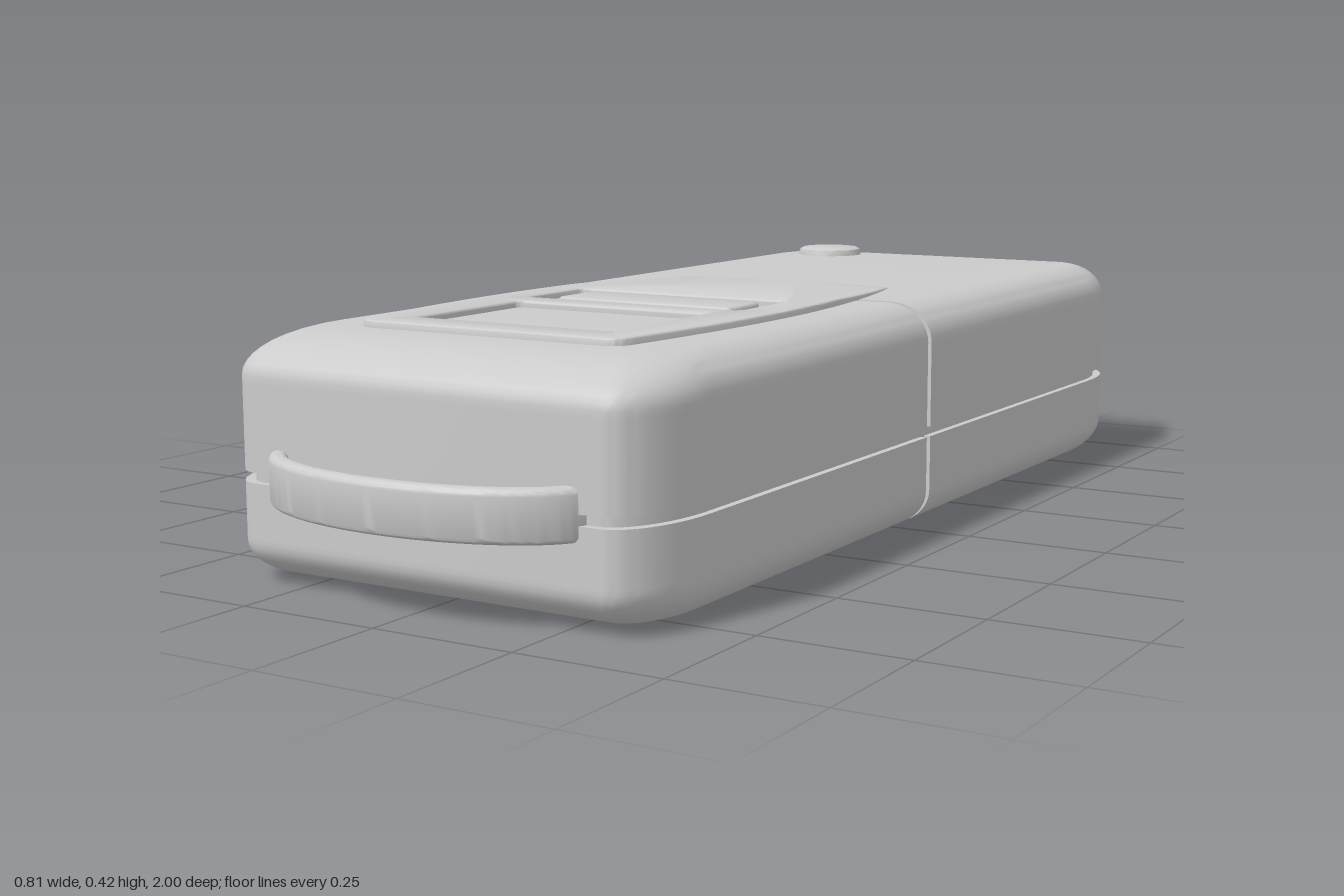
import * as THREE from 'three';
import { toCreasedNormals } from 'three/addons/utils/BufferGeometryUtils.js';

const material = new THREE.MeshStandardMaterial({ color: 0xcccccc });
const HALF_W = 0.405, FRONT = 0.89, BACK = 1.0, TOP = 0.398;
const SEAM_LOW = 0.163, SEAM_HIGH = 0.18;

// Rows of the case from bottom to top: height, edge rounding 0..1, side slot open or not
const ARC = 10;
const roundRows = (top) => Array.from({ length: ARC + 1 }, (_, i) => {
  const a = (i / ARC) * Math.PI / 2;
  const rise = 0.067 * (1 - Math.sin(a));
  return { y: top ? TOP - rise : rise, k: 1 - Math.cos(a), top };
});
const lowerRows = [
  ...roundRows(false).reverse(),
  { y: 0.075, k: 0, slot: true },
  { y: SEAM_LOW, k: 0, slot: true },
];
const upperRows = [
  { y: SEAM_HIGH, k: 0, slot: true, top: true },
  { y: 0.32, k: 0, slot: true, top: true },
  ...roundRows(true),
];

// Plan outline of one end of the case: s = 1 front, s = -1 back, closed by a flat cut
function outline(s, cut, row, inset) {
  const { k, top, slot } = row;
  const roundZ = s > 0 ? (top ? 0.17 : 0.13) : (top ? 0.07 : 0.1);
  const hx = HALF_W - 0.08 * k - inset;
  const end = (s > 0 ? FRONT : BACK) - roundZ * k - inset;
  const rx = 0.08 * (1 - 0.4 * k), rz = 0.17 * (1 - 0.4 * k);
  const points = [[s * hx, cut]];
  const n = 16;
  for (const side of [1, -1]) {
    for (let i = 0; i <= n; i++) {
      const a = ((side > 0 ? i : n - i) / n) * Math.PI / 2;
      points.push([
        s * side * (hx - rx + rx * Math.cos(a)),
        s * (end - rz + rz * Math.sin(a)),
      ]);
    }
  }
  points.push([-s * hx, cut]);
  // the slot runs along the right side and leaves through the back
  return points.map(([x, z]) => [slot && z < 0.8 ? Math.max(x, -0.36 + inset) : x, z]);
}

// Loft the rows into a closed block
function block(s, cut, rows, inset = 0) {
  const pos = [], index = [];
  const rings = rows.map((row) => outline(s, cut, row, inset));
  const n = rings[0].length;
  const heights = rows.map((r) => THREE.MathUtils.clamp(r.y, inset, TOP - inset));
  rings.forEach((ring, r) => ring.forEach(([x, z]) => pos.push(x, heights[r], z)));
  const last = rows.length - 1;
  const middle = cut + s * 0.4;
  pos.push(0, heights[0], middle, 0, heights[last], middle);
  const bottom = n * rows.length;
  for (let i = 0; i < n; i++) {
    const j = (i + 1) % n;
    for (let r = 0; r < last; r++) {
      const a = r * n + i, b = r * n + j;
      index.push(a, a + n, b, b, a + n, b + n);
    }
    index.push(bottom, i, j, bottom + 1, last * n + j, last * n + i);
  }
  const geo = new THREE.BufferGeometry();
  geo.setAttribute('position', new THREE.Float32BufferAttribute(pos, 3));
  geo.setIndex(index);
  return toCreasedNormals(geo.toNonIndexed(), 0.6);
}

// Extrude a plan shape (x, z) between two heights with softened edges
function slab(shape, y0, y1, bevel) {
  const geo = new THREE.ExtrudeGeometry(shape, {
    depth: y1 - y0 - 2 * bevel, bevelEnabled: bevel > 0, bevelThickness: bevel,
    bevelSize: bevel, bevelOffset: -bevel, bevelSegments: 5, curveSegments: 32,
  });
  geo.rotateX(Math.PI / 2).translate(0, y1 - bevel, 0);
  return toCreasedNormals(geo, 0.6);
}

function rectPath(x, z0, z1, r, Type = THREE.Path) {
  const p = new Type();
  p.moveTo(-x + r, z0).lineTo(x - r, z0).quadraticCurveTo(x, z0, x, z0 + r);
  p.lineTo(x, z1 - r).quadraticCurveTo(x, z1, x - r, z1);
  p.lineTo(-x + r, z1).quadraticCurveTo(-x, z1, -x, z1 - r);
  p.lineTo(-x, z0 + r).quadraticCurveTo(-x, z0, -x + r, z0);
  return p;
}

export function createModel() {
  const group = new THREE.Group();
  const add = (name, geo) => {
    const mesh = new THREE.Mesh(geo, material);
    mesh.name = name;
    group.add(mesh);
    return mesh;
  };

  // Case shells, separated by thin grooves, over an inset core
  add('upperFrontShell', block(1, -0.024, upperRows));
  add('upperBackShell', block(-1, -0.038, upperRows));
  add('lowerFrontShell', block(1, -0.024, lowerRows));
  add('lowerBackShell', block(-1, -0.038, lowerRows));
  for (const s of [1, -1]) add('core', block(s, -0.031, [...lowerRows, ...upperRows], 0.012));

  // Long insert in the side slot, with a rounded back end
  const bar = new THREE.Shape();
  bar.moveTo(-0.33, -0.965).lineTo(-0.355, -0.965);
  bar.quadraticCurveTo(-0.398, -0.94, -0.398, -0.82);
  bar.lineTo(-0.398, 0.35).lineTo(-0.33, 0.35);
  add('sideInsert', slab(bar, 0.082, 0.314, 0.004));
  for (const [z0, z1] of [[0.36, 0.43], [0.44, 0.69], [0.705, 0.765]]) {
    const piece = new THREE.Shape();
    piece.moveTo(-0.33, z0).lineTo(-0.396, z0).lineTo(-0.396, z1 - 0.01);
    piece.lineTo(-0.386, z1).lineTo(-0.33, z1);
    add('sideInsertSegment', slab(piece, 0.082, 0.314, 0.003));
  }

  // Bowed cover plate with two sunken windows, sloping down at its back
  const plate = new THREE.Shape();
  plate.moveTo(-0.22, -0.24).quadraticCurveTo(0, -0.265, 0.22, -0.24);
  plate.bezierCurveTo(0.3, 0.08, 0.3, 0.35, 0.255, 0.69);
  plate.quadraticCurveTo(0.25, 0.725, 0.22, 0.725).lineTo(-0.22, 0.725);
  plate.quadraticCurveTo(-0.25, 0.725, -0.255, 0.69);
  plate.bezierCurveTo(-0.3, 0.35, -0.3, 0.08, -0.22, -0.24);
  plate.holes.push(rectPath(0.215, 0.14, 0.31, 0.02), rectPath(0.19, 0.37, 0.65, 0.015));
  const plateGeo = slab(plate, 0.375, 0.41, 0.005);
  const p = plateGeo.attributes.position;
  for (let i = 0; i < p.count; i++) {
    const drop = THREE.MathUtils.clamp((0.07 - p.getZ(i)) / 0.3, 0, 1);
    p.setY(i, p.getY(i) - 0.009 * drop);
  }
  add('coverPlate', plateGeo);
  add('thumbRidge', slab(rectPath(0.177, 0.17, 0.275, 0.01, THREE.Shape), 0.38, 0.409, 0.008));

  // Round button near the back corner
  const button = add('button', toCreasedNormals(new THREE.LatheGeometry([
    [0, 0.37], [0.069, 0.37], [0.069, 0.402], [0.066, 0.41], [0.058, 0.414], [0, 0.416],
  ].map(([x, y]) => new THREE.Vector2(x, y)), 40).toNonIndexed(), 0.6));
  button.position.set(-0.23, 0, -0.865);

  // Curved strap loop on the front end
  const loop = new THREE.Shape();
  loop.absellipse(0, 0.85, 0.3, 0.15, 0, Math.PI, false);
  loop.lineTo(-0.268, 0.85);
  loop.absellipse(0, 0.85, 0.268, 0.12, Math.PI, 0, true);
  add('strapLoop', slab(loop, 0.137, 0.22, 0.012));

  return group;
}
